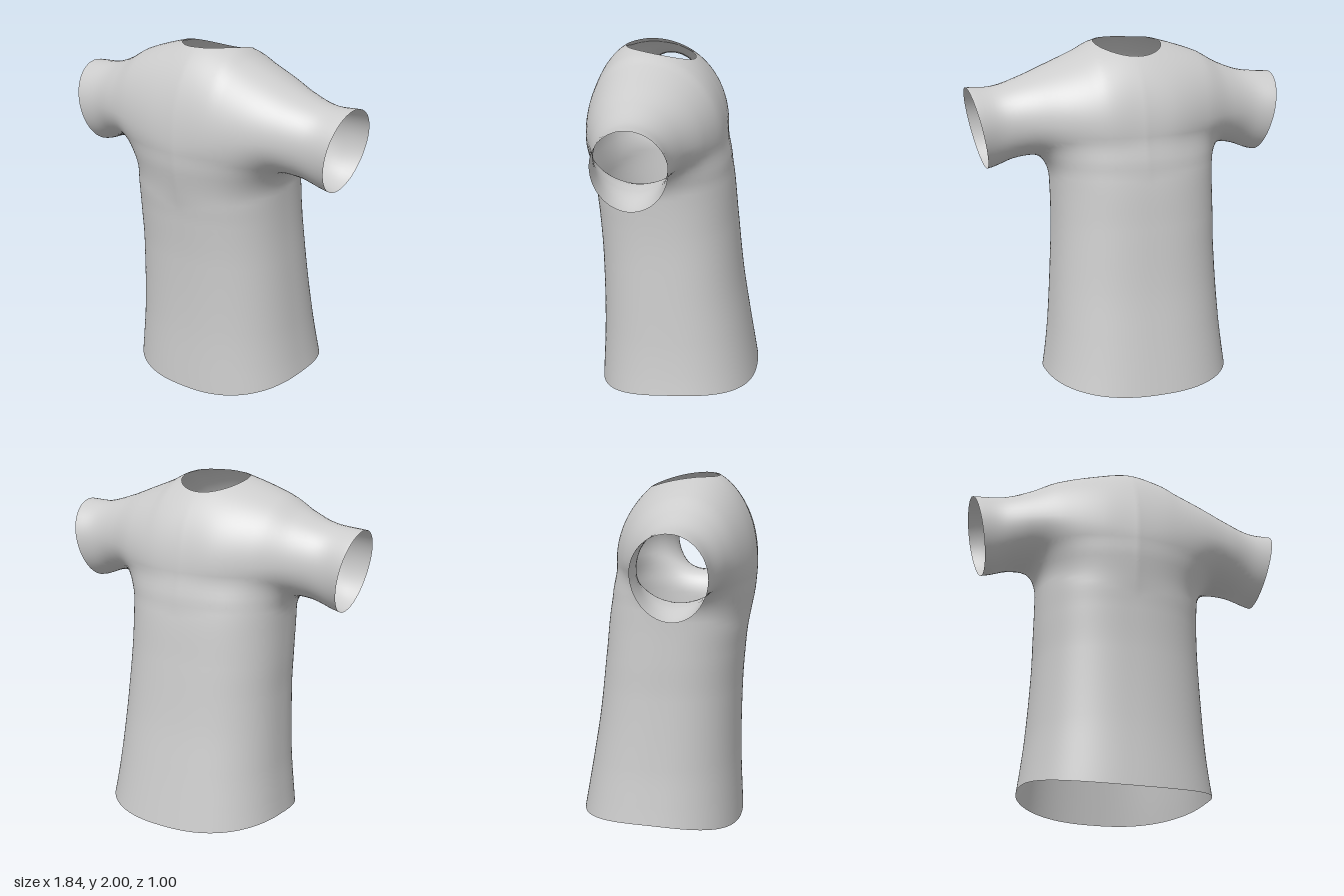
import * as THREE from 'three';
import { mergeVertices } from 'three/addons/utils/BufferGeometryUtils.js';

// Smooth curve through [position, value] pairs, held constant past its ends
function curve(...p) {
  const slope = i => {
    const a = p[Math.max(i - 1, 0)], b = p[Math.min(i + 1, p.length - 1)];
    return (b[1] - a[1]) / (b[0] - a[0]);
  };
  return t => {
    if (t <= p[0][0]) return p[0][1];
    if (t >= p[p.length - 1][0]) return p[p.length - 1][1];
    let i = 0;
    while (t > p[i + 1][0]) i++;
    const h = p[i + 1][0] - p[i][0], s = (t - p[i][0]) / h, r = 1 - s;
    return r * r * (1 + 2 * s) * p[i][1] + s * s * (3 - 2 * s) * p[i + 1][1]
      + h * s * r * (r * slope(i) - s * slope(i + 1));
  };
}

// Torso outline by height
const torso = {
  left: curve([0, 0.545], [0.2, 0.513], [0.4, 0.49], [0.8, 0.46], [1, 0.45], [1.2, 0.45], [1.4, 0.46]),
  right: curve([0, 0.56], [0.2, 0.535], [0.4, 0.515], [0.8, 0.495], [1, 0.495], [1.2, 0.495], [1.4, 0.5]),
  front: curve([0, 0.43], [0.4, 0.415], [0.8, 0.42], [1.05, 0.437], [1.2, 0.45], [1.35, 0.44], [1.6, 0.4]),
  back: curve([0, -0.51], [0.4, -0.44], [0.65, -0.4], [1, -0.36], [1.3, -0.325], [1.6, -0.25]),
};
// Shoulders and sleeves outline by distance across
const yoke = {
  top: curve([-0.92, 1.78], [-0.72, 1.8], [-0.57, 1.855], [-0.44, 1.925], [-0.2, 2], [0, 2.04],
    [0.19, 2], [0.28, 1.955], [0.45, 1.885], [0.6, 1.825], [0.77, 1.775], [0.92, 1.775]),
  bottom: curve([0, 1.08], [0.3, 1.2], [0.5, 1.36], [0.65, 1.365], [0.8, 1.315], [0.95, 1.3]),
  front: curve([0, 0.5], [0.2, 0.48], [0.4, 0.435], [0.6, 0.37], [0.75, 0.325], [0.9, 0.32]),
  back: curve([0, -0.3], [0.2, -0.28], [0.4, -0.21], [0.6, -0.11], [0.75, -0.07], [0.9, -0.09]),
  midY: curve([0, 1.5], [0.5, 1.58], [0.9, 1.55]),
  midZ: curve([0, 0.16], [0.9, 0.12]),
};

// Approximate distance to a rounded section
function section(a, b, ra, rb, power) {
  const rho = (Math.abs(a / ra) ** power + Math.abs(b / rb) ** power) ** (1 / power);
  return rho < 1e-4 ? -Math.min(ra, rb) : Math.hypot(a, b) * (1 - 1 / rho);
}

// Torso tube blended softly into the shoulder and sleeve tube; negative inside
function field(x, y, z) {
  const l = torso.left(y), r = torso.right(y), f = torso.front(y), b = torso.back(y);
  const body = section(x - (l - r) / 2, z - (f + b) / 2, (l + r) / 2, (f - b) / 2, 2.4)
    + 3 * Math.max(0, y - 1.35) ** 2;
  const ax = Math.abs(x), dy = y - yoke.midY(ax), dz = z - yoke.midZ(ax);
  const ry = Math.abs((dy > 0 ? yoke.top(x) : yoke.bottom(ax)) - yoke.midY(ax));
  const rz = Math.abs((dz > 0 ? yoke.front(ax) : yoke.back(ax)) - yoke.midZ(ax));
  const arms = section(dy, dz, ry, rz, 2);
  const k = 0.1, h = Math.max(k - Math.abs(body - arms), 0) / k;
  return Math.min(body, arms) - h * h * k / 4;
}

function gradient(p) {
  const e = 0.004;
  return new THREE.Vector3(
    field(p.x + e, p.y, p.z) - field(p.x - e, p.y, p.z),
    field(p.x, p.y + e, p.z) - field(p.x, p.y - e, p.z),
    field(p.x, p.y, p.z + e) - field(p.x, p.y, p.z - e)).divideScalar(2 * e);
}

// Positive on the cloth, negative beyond hem, cuffs or neckline
function cloth(p) {
  const hem = p.y - (0.095 - 0.27 * (p.z + 0.13) ** 2);
  const cuff = 0.92 - (1.775 - p.y) * 0.213 - Math.abs(p.x);
  const neck = Math.hypot(p.x + 0.01, p.z - 0.085) - 0.195;
  return Math.min(hem, cuff, Math.max(neck, 1.5 - p.y));
}

// Part of a triangle that lies on the cloth
function trim(tri) {
  const out = [];
  tri.forEach((a, i) => {
    const b = tri[(i + 1) % 3], ca = cloth(a), cb = cloth(b);
    if (ca >= 0) out.push(a);
    if (ca >= 0 !== cb >= 0) out.push(a.clone().lerp(b, ca / (ca - cb)));
  });
  return out;
}

// Skin the blended form on a regular grid, then cut the openings
function shirtGeometry() {
  const step = 0.03, n = [70, 78, 42], lo = [-1.05, -0.12, -0.63];
  const at = (i, j, k) => (i * n[1] + j) * n[2] + k;
  const pos = (i, axis) => lo[axis] + i * step;
  const values = new Float32Array(n[0] * n[1] * n[2]);
  const each = fn => {
    for (let i = 0; i < n[0]; i++)
      for (let j = 0; j < n[1]; j++)
        for (let k = 0; k < n[2]; k++) fn(i, j, k);
  };
  each((i, j, k) => { values[at(i, j, k)] = field(pos(i, 0), pos(j, 1), pos(k, 2)); });

  // One point per crossed cell, pulled onto the surface
  const strides = [n[1] * n[2], n[2], 1], points = new Map();
  each((i, j, k) => {
    if (i === n[0] - 1 || j === n[1] - 1 || k === n[2] - 1) return;
    const sum = new THREE.Vector3();
    let count = 0;
    for (let c = 0; c < 8; c++) for (let axis = 0; axis < 3; axis++) {
      if (c >> axis & 1) continue;
      const o = [c & 1, c >> 1 & 1, c >> 2 & 1];
      const id = at(i + o[0], j + o[1], k + o[2]);
      const a = values[id], b = values[id + strides[axis]];
      if (a < 0 === b < 0) continue;
      o[axis] = a / (a - b);
      sum.add(new THREE.Vector3(...o));
      count++;
    }
    if (!count) return;
    const p = sum.multiplyScalar(step / count).add(new THREE.Vector3(pos(i, 0), pos(j, 1), pos(k, 2)));
    for (let t = 0; t < 3; t++) {
      const g = gradient(p);
      p.addScaledVector(g, -field(p.x, p.y, p.z) / Math.max(g.lengthSq(), 0.2));
    }
    points.set(at(i, j, k), p);
  });

  // One quad per crossed grid edge
  const verts = [];
  const addTriangle = (a, b, c) => {
    const normal = b.clone().sub(a).cross(c.clone().sub(a));
    const tri = normal.dot(gradient(a)) < 0 ? [a, c, b] : [a, b, c];
    const poly = trim(tri);
    for (let i = 2; i < poly.length; i++)
      for (const p of [poly[0], poly[i - 1], poly[i]]) verts.push(p.x, p.y, p.z);
  };
  each((i, j, k) => {
    const id = at(i, j, k), cell = [i, j, k];
    for (let axis = 0; axis < 3; axis++) {
      if (cell[axis] === n[axis] - 1 || values[id] < 0 === values[id + strides[axis]] < 0) continue;
      const u = strides[(axis + 1) % 3], v = strides[(axis + 2) % 3];
      const q = [id, id - u, id - u - v, id - v].map(c => points.get(c));
      if (q.some(p => !p)) continue;
      addTriangle(q[0], q[1], q[2]);
      addTriangle(q[0], q[2], q[3]);
    }
  });

  const geometry = new THREE.BufferGeometry();
  geometry.setAttribute('position', new THREE.Float32BufferAttribute(verts, 3));
  const welded = mergeVertices(geometry, 1e-5);
  const place = welded.attributes.position, normals = [];
  for (let i = 0; i < place.count; i++)
    normals.push(...gradient(new THREE.Vector3().fromBufferAttribute(place, i)).normalize().toArray());
  welded.setAttribute('normal', new THREE.Float32BufferAttribute(normals, 3));
  return welded;
}

export function createModel() {
  const group = new THREE.Group();
  group.name = 'shirt';
  const material = new THREE.MeshStandardMaterial({ color: 0xcccccc, side: THREE.DoubleSide });
  const shirt = new THREE.Mesh(shirtGeometry(), material);
  shirt.name = 'shirtBodyAndSleeves';
  group.add(shirt);
  return group;
}
